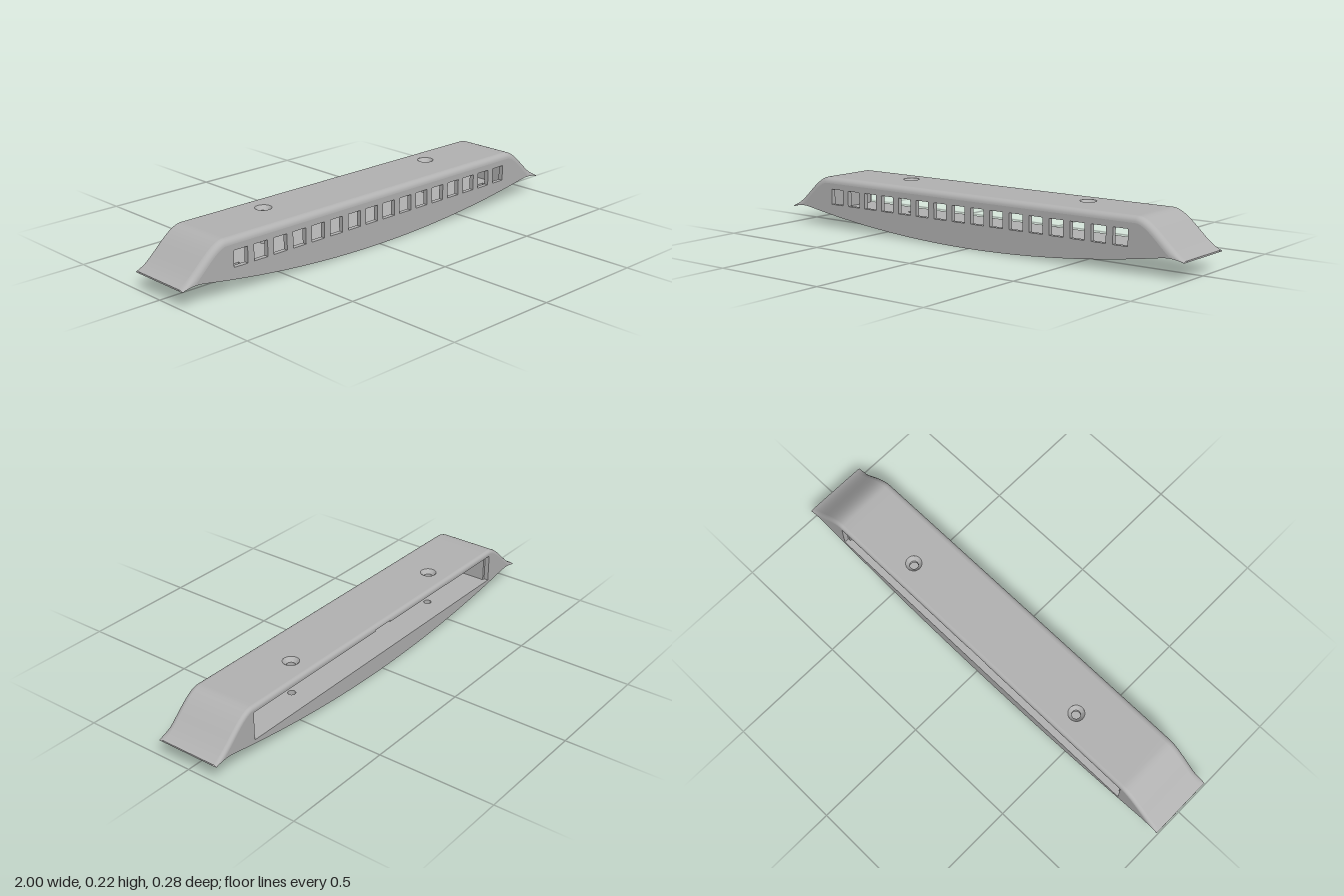
import * as THREE from 'three';
import { mergeGeometries, toCreasedNormals } from 'three/addons/utils/BufferGeometryUtils.js';

const HALF = 0.142, WALL = 0.02;            // half depth, wall thickness
const R_FRONT = 0.025, R_BACK = 0.015;      // top edge roundings
const FLOOR = 0.076, CEIL = 0.187, CAV = 0.778;
const HOLE_Z = -0.043;

// Height of the roof and of the bowed underside along x
const top = x => {
  const t = Math.min(1, (1.03 - Math.abs(x)) / 0.24);
  return 0.07 + 0.15 * t * t * (3 - 2 * t);
};
const bottom = x => 0.096 * x * x - 2.6 * Math.max(0, Math.abs(x) - 0.9) ** 2;

// Vertical drop of a rounding of radius r, following the slope of the roof
const drop = (x, r) => {
  const slope = (top(x) - top(x - Math.sign(x) * 0.002)) / 0.002;
  return Math.min(r * Math.hypot(1, slope), top(x) - bottom(x) - 0.001);
};

// Stations along x
const half = [0.05, 0.1, 0.17, 0.24, 0.32, 0.41, 0.51, 0.58, 0.65, 0.75, 0.79];
for (let i = 1; i <= 20; i++) half.push(0.79 + i * 0.0105);
const stations = [...half.map(x => -x).reverse(), 0, ...half];
const cavityStations = [-CAV, ...stations.filter(x => Math.abs(x) < 0.76), CAV];

function rect(Type, x0, x1, y0, y1) {
  const p = new Type();
  p.moveTo(x0, y0);
  p.lineTo(x1, y0);
  p.lineTo(x1, y1);
  p.lineTo(x0, y1);
  p.closePath();
  return p;
}

// Horizontal skin cut into slices along x; up = 1 faces up, -1 faces down
function skin(xs, z0, z1, height, up, holes) {
  const slices = [];
  for (let i = 0; i < xs.length - 1; i++) {
    const [a, b] = [-up * z0, -up * z1].sort((p, q) => p - q);
    const shape = rect(THREE.Shape, xs[i], xs[i + 1], a, b);
    for (const h of holes) {
      if (h.x < xs[i] || h.x > xs[i + 1]) continue;
      const y = -up * h.z;
      shape.holes.push(h.r
        ? new THREE.Path().absarc(h.x, y, h.r, 0, Math.PI * 2)
        : rect(THREE.Path, h.x - h.w / 2, h.x + h.w / 2, y - h.d / 2, y + h.d / 2));
    }
    const g = new THREE.ShapeGeometry(shape, 16);
    const p = g.attributes.position;
    for (let k = 0; k < p.count; k++) p.setXYZ(k, p.getX(k), height(p.getX(k)), -up * p.getY(k));
    g.computeVertexNormals();
    slices.push(g);
  }
  return toCreasedNormals(mergeGeometries(slices), 0.5);
}

// Upright end-to-end wall with openings
function wall(r, openings, z) {
  const low = stations.map(x => new THREE.Vector2(x, bottom(x)));
  const high = stations.map(x => new THREE.Vector2(x, top(x) - drop(x, r))).reverse();
  const shape = new THREE.Shape([...low, ...high]);
  shape.holes.push(...openings);
  const g = new THREE.ExtrudeGeometry(shape, { depth: WALL, bevelEnabled: false });
  return toCreasedNormals(g.translate(0, 0, z), 0.5);
}

// Rounded edge between roof and wall; side = 1 front, -1 back
function rounding(side, r) {
  const n = stations.length, steps = 6;
  const g = new THREE.PlaneGeometry(1, 1, n - 1, steps);
  const p = g.attributes.position;
  for (let k = 0; k < p.count; k++) {
    const x = side * stations[k % n];
    const a = Math.floor(k / n) / steps * Math.PI / 2;
    p.setXYZ(k, x, top(x) - drop(x, r) * (1 - Math.cos(a)), side * (HALF - r * (1 - Math.sin(a))));
  }
  g.computeVertexNormals();
  return g;
}

// Open lining of a hole, from one height function to another
function lining(h, low, high, rTop = h.r) {
  const g = h.r
    ? new THREE.CylinderGeometry(rTop, h.r, 1, 24, 1, true)
    : new THREE.CylinderGeometry(Math.SQRT1_2, Math.SQRT1_2, 1, 4, 1, true).rotateY(Math.PI / 4).scale(h.w, 1, h.d);
  g.translate(h.x, 0, h.z);
  const p = g.attributes.position;
  for (let k = 0; k < p.count; k++) p.setY(k, p.getY(k) < 0 ? low(p.getX(k)) : high(p.getX(k)));
  return toCreasedNormals(g, 0.6);
}

export function createModel() {
  const group = new THREE.Group();
  const grey = new THREE.MeshStandardMaterial({ color: 0xb2b2b2, side: THREE.DoubleSide });
  grey.name = 'grey';
  const add = (name, geometry) => {
    const mesh = new THREE.Mesh(geometry, grey);
    mesh.name = name;
    group.add(mesh);
    return mesh;
  };
  const level = y => () => y;
  const sides = [-1, 1];
  const bores = r => sides.map(s => ({ x: s * 0.46, z: HOLE_Z, r }));
  const slots = sides.map(s => ({ x: s * 0.7, z: 0.074, w: 0.06, d: 0.038 }));

  // Outer skins
  add('roof', skin(stations, -HALF + R_BACK, HALF - R_FRONT, top, 1, bores(0.034)));
  add('underside', skin(stations, -HALF + WALL, HALF - WALL, bottom, -1, [...bores(0.016), ...slots]));
  add('frontRounding', rounding(1, R_FRONT));
  add('backRounding', rounding(-1, R_BACK));

  // Front wall with a row of square windows
  const windows = [];
  for (let i = 0; i < 16; i++) {
    const x = (i - 7.5) * 0.097;
    windows.push(rect(THREE.Path, x - 0.033, x + 0.033, 0.103, 0.17));
  }
  add('frontWall', wall(R_FRONT, windows, HALF - WALL));

  // Back wall with a long opening and a finger notch
  const opening = new THREE.Path([
    [-0.79, FLOOR], [0.79, FLOOR], [0.79, 0.196], [0.05, 0.196],
    [0.05, 0.202], [-0.05, 0.202], [-0.05, 0.196], [-0.79, 0.196],
  ].map(([x, y]) => new THREE.Vector2(x, y)));
  add('backWall', wall(R_BACK, [opening], -HALF));

  // Step behind the opening
  const step = rect(THREE.Shape, -0.8, 0.8, 0.07, 0.205);
  step.holes.push(rect(THREE.Path, -CAV, CAV, FLOOR, CEIL));
  add('openingStep', new THREE.ShapeGeometry(step).rotateY(Math.PI).translate(0, 0, -HALF + WALL));

  // Inner compartment
  const z0 = -HALF + WALL, z1 = HALF - WALL;
  add('floor', skin(cavityStations, z0, z1, level(FLOOR), 1, [...bores(0.016), ...slots]));
  add('ceiling', skin(cavityStations, z0, z1, level(CEIL), -1, bores(0.018)));
  for (const s of sides) {
    const inner = new THREE.PlaneGeometry(z1 - z0, CEIL - FLOOR).rotateY(-s * Math.PI / 2);
    add('compartmentEnd', inner.translate(s * CAV, (CEIL + FLOOR) / 2, 0));

    // Thin edge of each tip
    const tip = new THREE.PlaneGeometry(2 * z1, top(1) - bottom(1)).rotateY(s * Math.PI / 2);
    add('tipEdge', tip.translate(s, (top(1) + bottom(1)) / 2, 0));
  }

  // Countersunk screw holes, lower holes and slots
  for (const h of bores(0.018)) {
    add('countersink', lining(h, level(0.203), level(0.22), 0.034));
    add('screwBore', lining(h, level(CEIL), level(0.203)));
  }
  for (const h of bores(0.016)) add('lowerBore', lining(h, bottom, level(FLOOR)));
  for (const h of slots) add('slotLining', lining(h, bottom, level(FLOOR)));

  return group;
}
